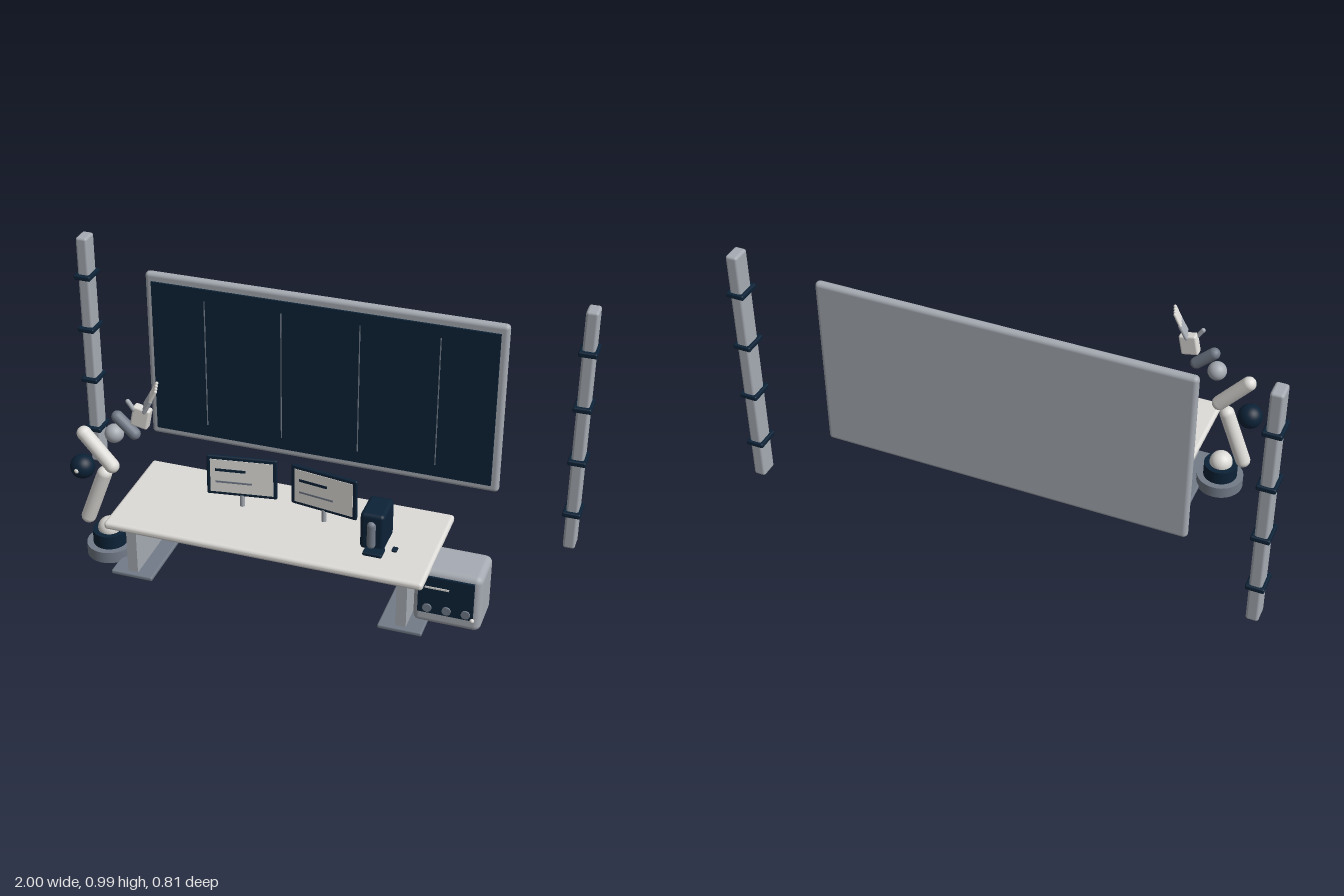
import * as THREE from 'three';
import { RoundedBoxGeometry } from 'three/addons/geometries/RoundedBoxGeometry.js';

const mat = (name, color) => {
  const m = new THREE.MeshStandardMaterial({ color });
  m.name = name;
  return m;
};

export function createModel() {
  const white = mat('warm white', 0xdedcd8);
  const grey = mat('light grey', 0xa6abb3);
  const slate = mat('slate grey', 0x727b88);
  const navy = mat('dark navy', 0x0c2237);
  const root = new THREE.Group();
  root.name = 'workstation';

  const group = (name, parent = root) => {
    const g = new THREE.Group();
    g.name = name;
    parent.add(g);
    return g;
  };
  const add = (parent, name, geo, material, x = 0, y = 0, z = 0) => {
    const m = new THREE.Mesh(geo, material);
    m.name = name;
    m.position.set(x, y, z);
    parent.add(m);
    return m;
  };
  // box given by its lower and upper limits, with rounded edges when r > 0
  const box = (parent, name, material, [x0, x1], [y0, y1], [z0, z1], r = 0) => {
    const s = [x1 - x0, y1 - y0, z1 - z0];
    const geo = r ? new RoundedBoxGeometry(...s, 3, r) : new THREE.BoxGeometry(...s);
    return add(parent, name, geo, material, (x0 + x1) / 2, (y0 + y1) / 2, (z0 + z1) / 2);
  };
  const ball = (parent, name, material, r, x, y, z) =>
    add(parent, name, new THREE.SphereGeometry(r, 28, 18), material, x, y, z);
  const cyl = (parent, name, material, r, y0, y1, x, z) =>
    add(parent, name, new THREE.CylinderGeometry(r, r, y1 - y0, 36), material, x, (y0 + y1) / 2, z);
  // capsule whose rounded ends reach points a and b
  const capsule = (parent, name, material, r, a, b) => {
    const p = new THREE.Vector3(...a), q = new THREE.Vector3(...b);
    const d = q.clone().sub(p);
    const len = d.length();
    const m = add(parent, name, new THREE.CapsuleGeometry(r, Math.max(len - 2 * r, 0.001), 6, 18), material);
    m.position.copy(p.add(q).multiplyScalar(0.5));
    m.quaternion.setFromUnitVectors(new THREE.Vector3(0, 1, 0), d.normalize());
    return m;
  };

  // Banded posts on both sides
  for (const s of [-1, 1]) {
    const post = group(s < 0 ? 'rightPost' : 'leftPost');
    const x = s * 0.966;
    box(post, 'column', grey, [x - 0.023, x + 0.023], [0.005, 0.99], [-0.398, -0.327], 0.01);
    for (const y of [0.16, 0.384, 0.606, 0.829])
      box(post, 'band', navy, [x - 0.034, x + 0.034], [y - 0.01, y + 0.01], [-0.406, -0.312], 0.006);
  }

  // Large wall display
  const wall = group('wallDisplay');
  box(wall, 'frame', grey, [-0.693, 0.693], [0.217, 0.91], [-0.322, -0.288], 0.016);
  box(wall, 'screen', navy, [-0.665, 0.665], [0.25, 0.877], [-0.289, -0.28]);
  for (const x of [-0.453, -0.152, 0.15, 0.451])
    box(wall, 'divider', slate, [x - 0.002, x + 0.002], [0.3, 0.83], [-0.281, -0.278]);

  // Desk with plate legs and a tray underneath
  const desk = group('desk');
  box(desk, 'deskTop', white, [-0.588, 0.588], [0.222, 0.252], [-0.053, 0.403], 0.013);
  box(desk, 'cableTray', navy, [-0.352, 0.352], [0.14, 0.223], [0.08, 0.27], 0.015);
  for (const s of [-1, 1]) {
    const x = s * 0.505;
    box(desk, 'leg', grey, [x - 0.019, x + 0.019], [0.015, 0.224], [0, 0.353]);
    box(desk, 'foot', slate, [x - 0.08, x + 0.08], [0.006, 0.023], [-0.018, 0.37], 0.006);
    box(desk, 'footPad', slate, [x - 0.019, x + 0.019], [0, 0.008], [0, 0.353]);
  }

  // Twin monitors turned inwards
  for (const s of [-1, 1]) {
    const mon = group(s < 0 ? 'rightMonitor' : 'leftMonitor');
    mon.position.set(s * 0.155, 0, 0.139);
    mon.rotation.y = -s * 0.15;
    box(mon, 'casing', navy, [-0.129, 0.129], [0.294, 0.457], [-0.007, 0.007], 0.006);
    box(mon, 'screen', white, [-0.115, 0.115], [0.308, 0.443], [0.006, 0.009]);
    box(mon, 'thickLine', navy, [-0.096, 0.014], [0.396, 0.406], [0.008, 0.011]);
    box(mon, 'thinLine', slate, [-0.096, 0.038], [0.348, 0.355], [0.008, 0.011]);
    cyl(mon, 'stand', grey, 0.009, 0.25, 0.3, 0, 0);
  }

  // Small machine on the desk
  const machine = group('deskMachine');
  box(machine, 'body', navy, [0.323, 0.411], [0.252, 0.399], [0.133, 0.264], 0.015);
  capsule(machine, 'frontColumn', slate, 0.016, [0.366, 0.262, 0.262], [0.366, 0.372, 0.262]);
  box(machine, 'dripTray', navy, [0.345, 0.415], [0.252, 0.266], [0.25, 0.302], 0.005);
  box(machine, 'sideLever', navy, [0.435, 0.455], [0.252, 0.262], [0.225, 0.25], 0.004);

  // Side cabinet with a control panel
  const cabinet = group('sideCabinet');
  box(cabinet, 'body', grey, [0.53, 0.772], [0.013, 0.239], [0.126, 0.296], 0.025);
  box(cabinet, 'controlPanel', navy, [0.55, 0.747], [0.067, 0.218], [0.295, 0.304]);
  box(cabinet, 'readout', white, [0.574, 0.66], [0.173, 0.18], [0.303, 0.307]);
  for (const x of [0.585, 0.654, 0.722]) {
    const knob = add(cabinet, 'knob', new THREE.CylinderGeometry(0.016, 0.016, 0.008, 24), slate, x, 0.09, 0.306);
    knob.rotation.x = Math.PI / 2;
  }
  ball(cabinet, 'indicator', white, 0.008, 0.746, 0.07, 0.306);

  // Robot arm
  const arm = group('robotArm');
  const az = 0.235;
  cyl(arm, 'basePlate', slate, 0.087, 0.01, 0.055, -0.646, az);
  cyl(arm, 'turntable', navy, 0.063, 0.055, 0.108, -0.646, az);
  ball(arm, 'shoulder', white, 0.043, -0.646, 0.113, az);
  capsule(arm, 'lowerArm', white, 0.028, [-0.737, 0.122, az], [-0.642, 0.372, az]);
  ball(arm, 'elbow', navy, 0.046, -0.738, 0.36, az);
  ball(arm, 'elbowCap', white, 0.012, -0.742, 0.362, az + 0.037);
  capsule(arm, 'upperArm', white, 0.027, [-0.74, 0.523, az], [-0.602, 0.364, az]);
  ball(arm, 'wristBall', grey, 0.035, -0.602, 0.525, az);
  capsule(arm, 'forearm', slate, 0.022, [-0.602, 0.612, az], [-0.507, 0.523, az]);

  // Hand, built upright and then tilted
  const hand = group('hand', arm);
  hand.position.set(-0.492, 0.62, az);
  hand.rotation.z = -0.2;
  box(hand, 'palm', white, [-0.033, 0.033], [-0.045, 0.035], [-0.018, 0.018], 0.008);
  [-0.027, -0.009, 0.009, 0.027].forEach((z, i) => {
    const x = 0.004 + i * 0.006;
    capsule(hand, 'fingerBase', grey, 0.0075, [x - 0.008, 0.028, z], [x + 0.012, 0.09, z]);
    capsule(hand, 'fingerTip', white, 0.006, [x + 0.006, 0.075, z], [x + 0.024, 0.137, z]);
  });
  capsule(hand, 'thumb', grey, 0.0085, [-0.022, 0.015, 0.012], [-0.06, 0.052, 0.014]);
  return root;
}
